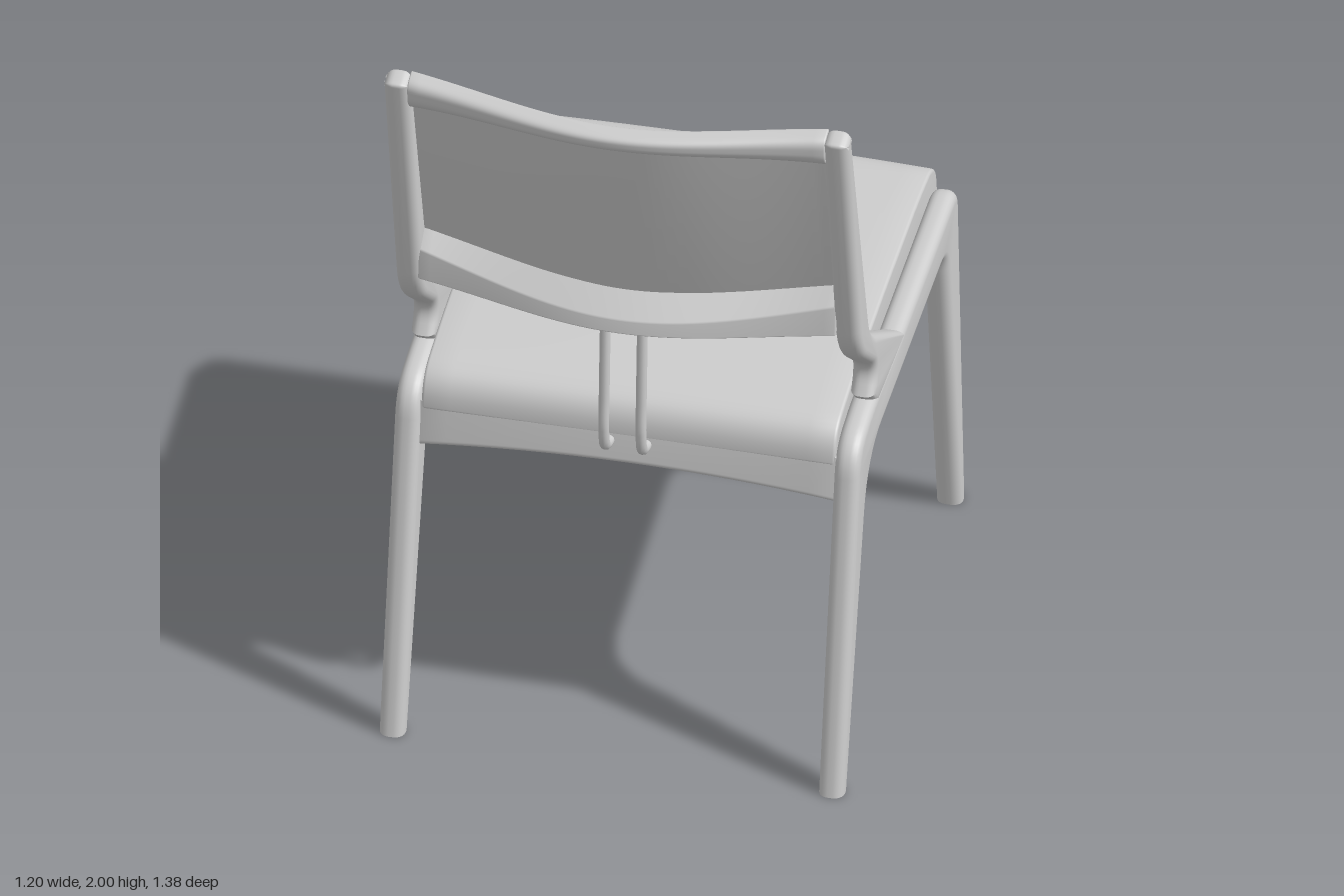
import * as THREE from 'three';
import { toCreasedNormals } from 'three/addons/utils/BufferGeometryUtils.js';

const paint = new THREE.MeshStandardMaterial({ color: 0xcccccc });
paint.name = 'pale grey';

// Closed side-on outline from [z, y, fillet] corners
function outline(corners) {
  const shape = new THREE.Shape();
  const n = corners.length;
  corners.forEach(([z, y, d = 0], i) => {
    const p = new THREE.Vector2(z, y);
    const toward = (c) => new THREE.Vector2(c[0], c[1]).sub(p).setLength(d).add(p);
    const a = toward(corners[(i + n - 1) % n]);
    const b = toward(corners[(i + 1) % n]);
    if (i === 0) shape.moveTo(a.x, a.y);
    else shape.lineTo(a.x, a.y);
    if (d > 0) shape.quadraticCurveTo(p.x, p.y, b.x, b.y);
  });
  shape.closePath();
  return shape;
}

// Smooth normals with sharp creases; enlarged meanwhile so close vertices stay distinct
function crease(geo) {
  return toCreasedNormals(geo.scale(100, 100, 100), 0.6).scale(0.01, 0.01, 0.01);
}

// Outline extruded across x, with rounded edges and an optional vertex rule
function slab(name, corners, width, bevel, { steps = 1, bevelSegments = 3, warp } = {}) {
  const geo = new THREE.ExtrudeGeometry(outline(corners), {
    depth: width - 2 * bevel, steps, curveSegments: 8, bevelEnabled: true,
    bevelSize: bevel, bevelThickness: bevel, bevelOffset: -bevel, bevelSegments,
  });
  geo.translate(0, 0, bevel - width / 2).rotateY(-Math.PI / 2);
  if (warp) {
    const pos = geo.attributes.position;
    const v = new THREE.Vector3();
    for (let i = 0; i < pos.count; i++) {
      warp(v.fromBufferAttribute(pos, i));
      pos.setXYZ(i, v.x, v.y, v.z);
    }
  }
  const mesh = new THREE.Mesh(crease(geo), paint);
  mesh.name = name;
  return mesh;
}

// 0 at the uprights, 1 in the middle: a plain arch, and one that eases out at the ends
const arch = (x) => Math.max(0, 1 - (x / 0.54) ** 2);
const bow = (x) => 0.4 * arch(x) + 0.3 * (1 + Math.cos(Math.PI * Math.min(1, Math.abs(x) / 0.54)));
const BOW = 0.09;

export function createModel() {
  const chair = new THREE.Group();
  chair.name = 'chair';

  // Side frames: legs with seat rail, and the leaning upright
  const legCorners = [
    [0.664, -0.03], [0.477, 0.955, 0.09], [0.3, 0.985, 0.05], [0, 0.985, 0.03],
    [-0.615, 1.015, 0.06], [-0.69, -0.03], [-0.63, -0.03],
    [-0.485, 0.89, 0.07], [0.37, 0.85, 0.14], [0.605, -0.03],
  ];
  const uprightCorners = [
    [0.27, 0.95], [-0.04, 0.96], [0.345, 1.22, 0.08], [0.555, 2.0, 0.01],
    [0.61, 1.985, 0.01], [0.46, 1.23, 0.08], [0.272, 1.07, 0.05], [0.315, 1.0],
  ];
  for (const side of [-1, 1]) {
    const frame = new THREE.Group();
    frame.name = side > 0 ? 'leftFrame' : 'rightFrame';
    frame.add(
      // feet are cut flat at the floor
      slab('legsAndRail', legCorners, 0.066, 0.026,
        { bevelSegments: 5, warp: (v) => { v.y = Math.max(0, v.y); } }),
      slab('upright', uprightCorners, 0.066, 0.024, { bevelSegments: 5 }),
    );
    frame.position.x = side * 0.568;
    chair.add(frame);
  }

  // Seat with rolled front and rear edges and a slight crown
  chair.add(slab('seat', [
    [0.468, 0.885, 0.01], [0.458, 0.982, 0.075], [0.25, 1.022, 0.1], [-0.1, 1.05, 0.1],
    [-0.45, 1.068, 0.08], [-0.645, 1.062, 0.09], [-0.663, 0.855, 0.015],
    [-0.615, 0.855, 0.015], [-0.58, 0.9], [0.4, 0.9],
  ], 1.07, 0.008, {
    steps: 16,
    warp: (v) => { v.y += 0.01 * arch(v.x) * THREE.MathUtils.smoothstep(v.y, 0.98, 1.06); },
  }));

  // Rear apron with an arched lower edge
  chair.add(slab('rearApron', [
    [0.4, 0.91], [0.463, 0.91], [0.485, 0.785, 0.015], [0.425, 0.785, 0.01],
  ], 1.08, 0.004, {
    steps: 16,
    warp: (v) => { if (v.y < 0.85) v.y += 0.03 * arch(v.x); },
  }));

  // Backrest pad
  chair.add(slab('backPad', [
    [0.367, 1.295, 0.006], [0.545, 1.97, 0.006], [0.571, 1.963, 0.006], [0.393, 1.288, 0.006],
  ], 1.115, 0.005, {
    steps: 40,
    warp: (v) => {
      v.y += arch(v.x) * (v.y > 1.9 ? -0.02 : 0.02);
      v.z += BOW * bow(v.x);
    },
  }));

  // Top rail
  chair.add(slab('topRail', [
    [0.55, 1.925], [0.575, 1.9, 0.01], [0.599, 1.925, 0.02], [0.603, 1.985, 0.025], [0.55, 2.0, 0.012],
  ], 1.08, 0.004, {
    steps: 40,
    warp: (v) => {
      v.y += arch(v.x) * THREE.MathUtils.mapLinear(v.y, 1.9, 2, 0.02, -0.02);
      v.z += BOW * bow(v.x);
    },
  }));

  // Lower back rail with a sloping ledge
  chair.add(slab('lowerRail', [
    [0.412, 1.44], [0.472, 1.385, 0.004], [0.482, 1.3, 0.004], [0.385, 1.325],
  ], 1.08, 0.004, {
    steps: 40,
    warp: (v) => {
      v.y -= arch(v.x) * (v.y > 1.35 ? 0.068 : 0.018);
      v.z += BOW * bow(v.x);
    },
  }));

  // Twin support rods hooked into the apron
  for (const x of [-0.048, 0.048]) {
    const path = new THREE.CatmullRomCurve3([
      [0.508, 1.32], [0.517, 1.18], [0.525, 1.04], [0.529, 0.95], [0.517, 0.895], [0.485, 0.876], [0.44, 0.876],
    ].map(([z, y]) => new THREE.Vector3(x, y, z)));
    const rod = new THREE.Mesh(new THREE.TubeGeometry(path, 40, 0.014, 12), paint);
    rod.name = 'supportRod';
    chair.add(rod);
  }

  // Rod bracket on the inner side of the apron
  const bracket = new THREE.Mesh(new THREE.BoxGeometry(0.16, 0.045, 0.012), paint);
  bracket.name = 'rodBracket';
  bracket.position.set(0, 0.868, 0.405);
  chair.add(bracket);

  return chair;
}
